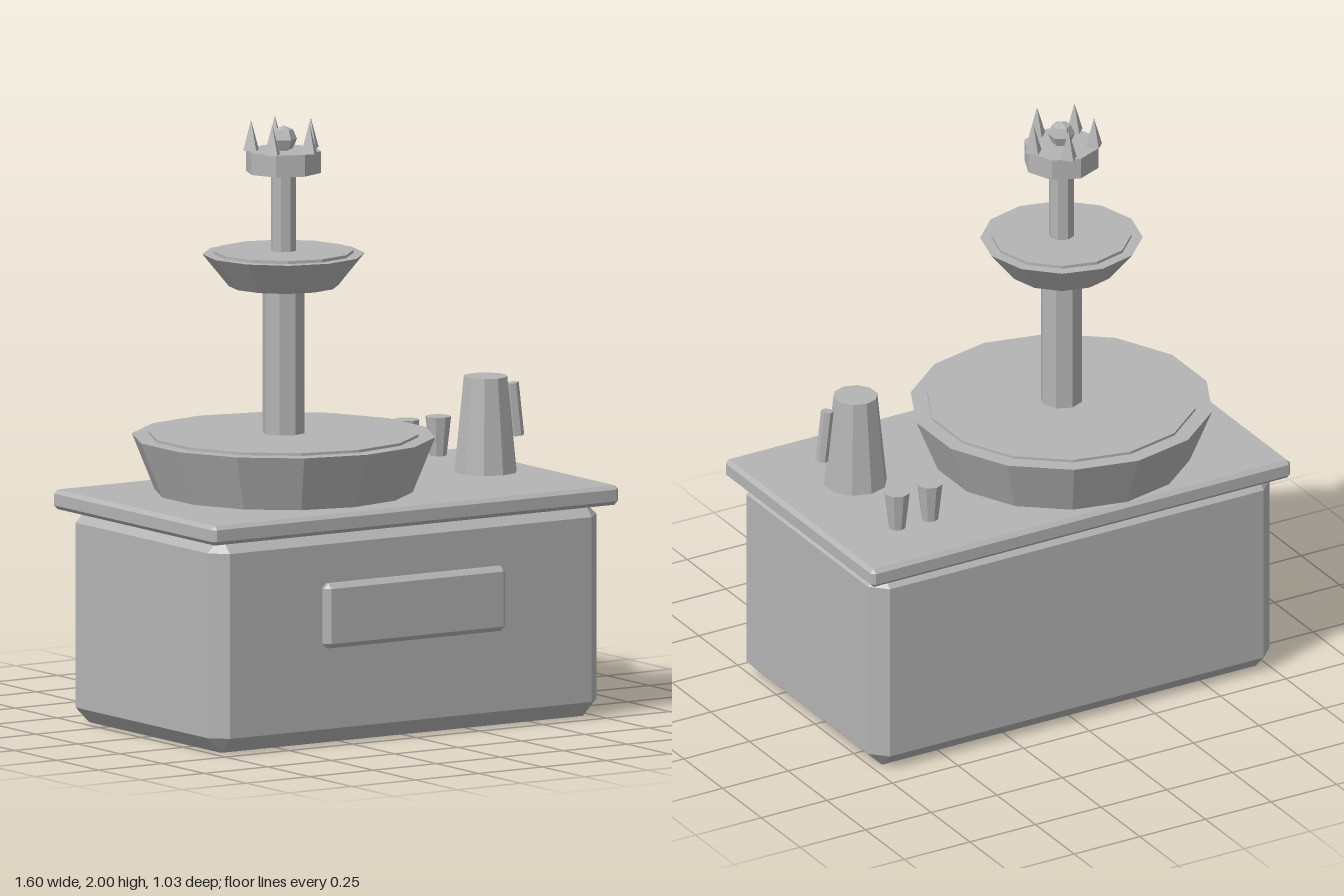
import * as THREE from 'three';
import { ConvexGeometry } from 'three/addons/geometries/ConvexGeometry.js';

const stone = new THREE.MeshStandardMaterial({ color: 0xb4b4b4, flatShading: true });
stone.name = 'stoneGrey';

function add(parent, name, geometry, x, y, z) {
  const mesh = new THREE.Mesh(geometry, stone);
  mesh.name = name;
  mesh.position.set(x, y, z);
  parent.add(mesh);
  return mesh;
}

// Box with flat chamfers of size c: three corner points at each of the eight corners
function chamferBox(w, h, d, c) {
  const points = [];
  for (const sx of [-1, 1]) for (const sy of [-1, 1]) for (const sz of [-1, 1]) {
    for (let axis = 0; axis < 3; axis++) {
      const inset = [c, c, c];
      inset[axis] = 0;
      points.push(new THREE.Vector3(
        sx * (w / 2 - inset[0]), sy * (h / 2 - inset[1]), sz * (d / 2 - inset[2])));
    }
  }
  return new ConvexGeometry(points);
}

// Tapered prism standing on height y0
function drum(parent, name, rTop, rBottom, y0, y1, sides, x, z) {
  const geometry = new THREE.CylinderGeometry(rTop, rBottom, y1 - y0, sides);
  return add(parent, name, geometry, x, (y0 + y1) / 2, z);
}

export function createModel() {
  const model = new THREE.Group();
  model.name = 'fountainCounter';

  // Cabinet
  add(model, 'cabinet', chamferBox(1.53, 0.72, 0.89, 0.053), 0, 0.36, 0.025);
  add(model, 'countertop', chamferBox(1.6, 0.065, 0.96, 0.013), 0, 0.737, 0.025);
  add(model, 'frontPanel', chamferBox(0.71, 0.215, 0.045, 0.016), -0.004, 0.433, 0.492);

  // Tiered fountain
  const fountain = new THREE.Group();
  fountain.name = 'fountain';
  fountain.position.set(-0.18, 0, -0.015);
  model.add(fountain);
  drum(fountain, 'lowerBasin', 0.5, 0.425, 0.768, 0.953, 14, 0, 0);
  drum(fountain, 'lowerPool', 0.445, 0.445, 0.93, 0.962, 14, 0, 0);
  drum(fountain, 'lowerColumn', 0.07, 0.07, 0.95, 1.46, 8, 0, 0);
  drum(fountain, 'upperBasin', 0.267, 0.18, 1.45, 1.557, 12, 0, 0);
  drum(fountain, 'upperPool', 0.23, 0.23, 1.54, 1.567, 12, 0, 0);
  drum(fountain, 'upperColumn', 0.042, 0.042, 1.56, 1.84, 8, 0, 0);

  // Crown with five spikes and a ball
  drum(fountain, 'crownBase', 0.126, 0.126, 1.828, 1.9, 8, 0, 0);
  for (let i = 0; i < 5; i++) {
    const a = (i / 5) * Math.PI * 2;
    add(fountain, 'crownSpike', new THREE.ConeGeometry(0.031, 0.1, 4),
      Math.cos(a) * 0.107, 1.95, Math.sin(a) * 0.107);
  }
  const ball = add(fountain, 'crownBall', new THREE.SphereGeometry(0.044, 6, 4), 0, 1.938, 0);
  ball.rotation.y = Math.PI / 6;

  // Pitcher and cups
  drum(model, 'pitcher', 0.074, 0.106, 0.788, 1.105, 10, 0.532, 0.11);
  const handle = drum(model, 'pitcherHandle', 0.021, 0.021, 0.897, 1.075, 6, 0.649, 0.11);
  handle.rotation.z = 0.12;
  for (const x of [0.46, 0.585]) {
    drum(model, 'cup', 0.043, 0.028, 0.79, 0.92, 8, x, -0.25);
  }
  return model;
}
